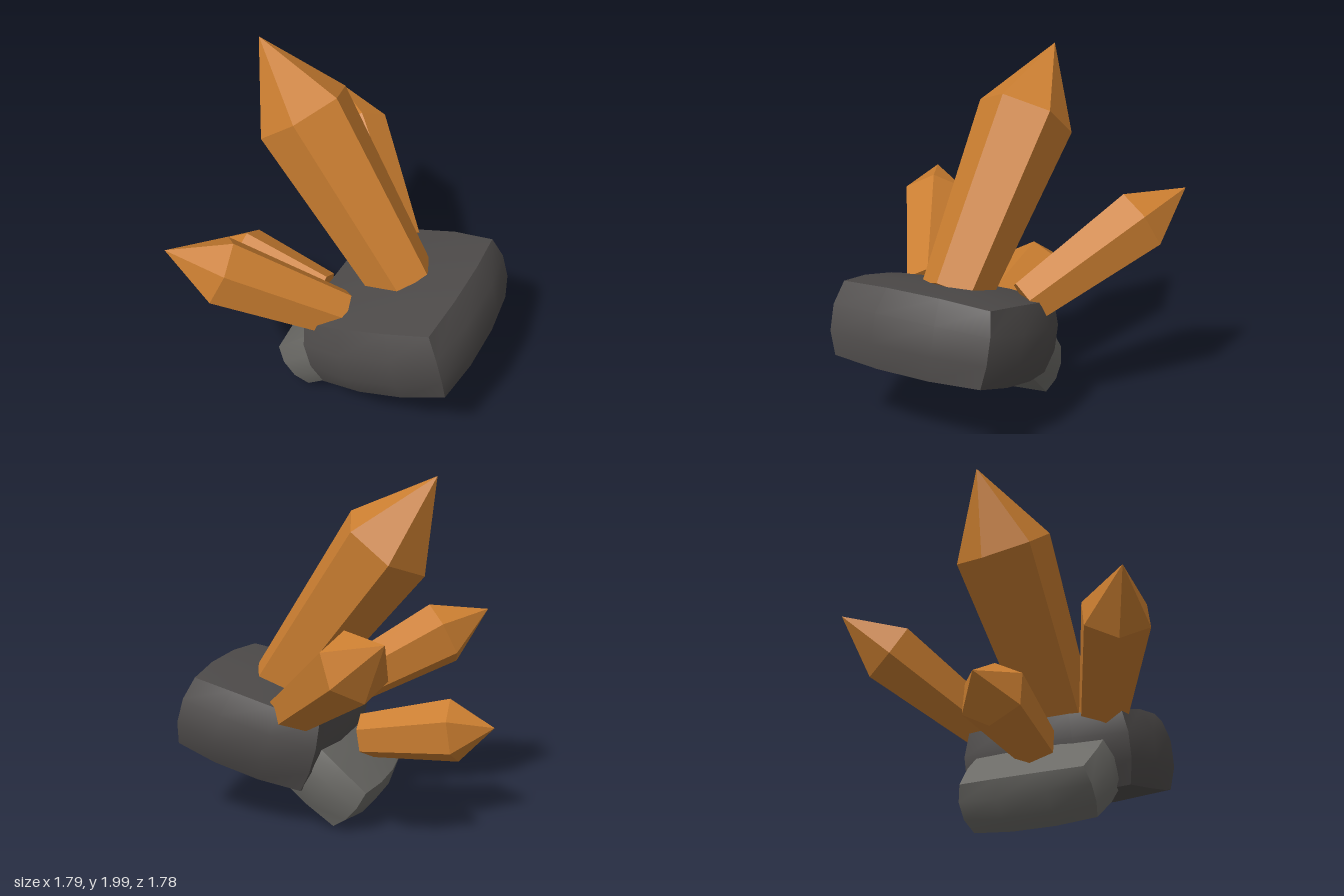
import * as THREE from 'three';

const mat = (name, color) => new THREE.MeshStandardMaterial({ name, color });

// Boulder: subdivided box, blended halfway to a sphere; creases stay on the box edges
function boulder(name, material, size, position, tilt) {
  const geo = new THREE.BoxGeometry(2, 2, 2, 3, 3, 3);
  const pos = geo.attributes.position;
  const p = new THREE.Vector3();
  for (let i = 0; i < pos.count; i++) {
    p.fromBufferAttribute(pos, i);
    p.multiplyScalar(0.5 + 0.5 / p.length());
    pos.setXYZ(i, p.x * size[0], p.y * size[1], p.z * size[2]);
  }
  geo.computeVertexNormals();
  const mesh = new THREE.Mesh(geo, material);
  mesh.name = name;
  mesh.position.set(...position);
  mesh.rotation.z = tilt;
  return mesh;
}

// Crystal: six-sided shaft widening to a shoulder, then a point.
// The shoulder sits at 70% of the length; one ridge faces upward.
function crystal(name, material, tip, shoulder, radius) {
  const top = new THREE.Vector3(...tip);
  const axis = top.clone().sub(new THREE.Vector3(...shoulder));
  const length = axis.length() / 0.3;
  axis.normalize();
  const profile = [[0, 0], [0.7 * radius, 0], [radius, 0.7 * length], [0, length]]
    .map(([x, y]) => new THREE.Vector2(x, y));
  const geo = new THREE.LatheGeometry(profile, 6).toNonIndexed();
  geo.computeVertexNormals();

  const mesh = new THREE.Mesh(geo, material);
  mesh.name = name;
  const ridge = new THREE.Vector3(0, 1, 0).addScaledVector(axis, -axis.y).normalize();
  const side = new THREE.Vector3().crossVectors(axis, ridge);
  mesh.quaternion.setFromRotationMatrix(new THREE.Matrix4().makeBasis(side, axis, ridge));
  mesh.position.copy(top).addScaledVector(axis, -length);
  return mesh;
}

export function createModel() {
  const amber = mat('amber', 0xc97d30);
  const darkRock = mat('darkRock', 0x4e4b4a);
  const greyRock = mat('greyRock', 0x6b6a66);

  const model = new THREE.Group();
  model.name = 'crystalCluster';
  model.add(
    // Rocks
    boulder('largeRock', darkRock, [0.49, 0.262, 0.578], [0.42, 0.55, 0.115], 0.275),
    boulder('smallRock', greyRock, [0.4, 0.183, 0.45], [0.074, 0.35, 0.085], 0.728),
    // Crystals
    crystal('largeCrystal', amber, [-0.58, 2.0, -0.045], [-0.295, 1.62, -0.005], 0.28),
    crystal('frontCrystal', amber, [-0.7, 1.115, 0.84], [-0.45, 0.975, 0.71], 0.2),
    crystal('backCrystal', amber, [-0.54, 1.255, -0.9], [-0.325, 1.085, -0.71], 0.2),
    crystal('lowCrystal', amber, [-0.9, 0.58, 0.11], [-0.668, 0.545, 0.11], 0.187),
  );
  return model;
}
